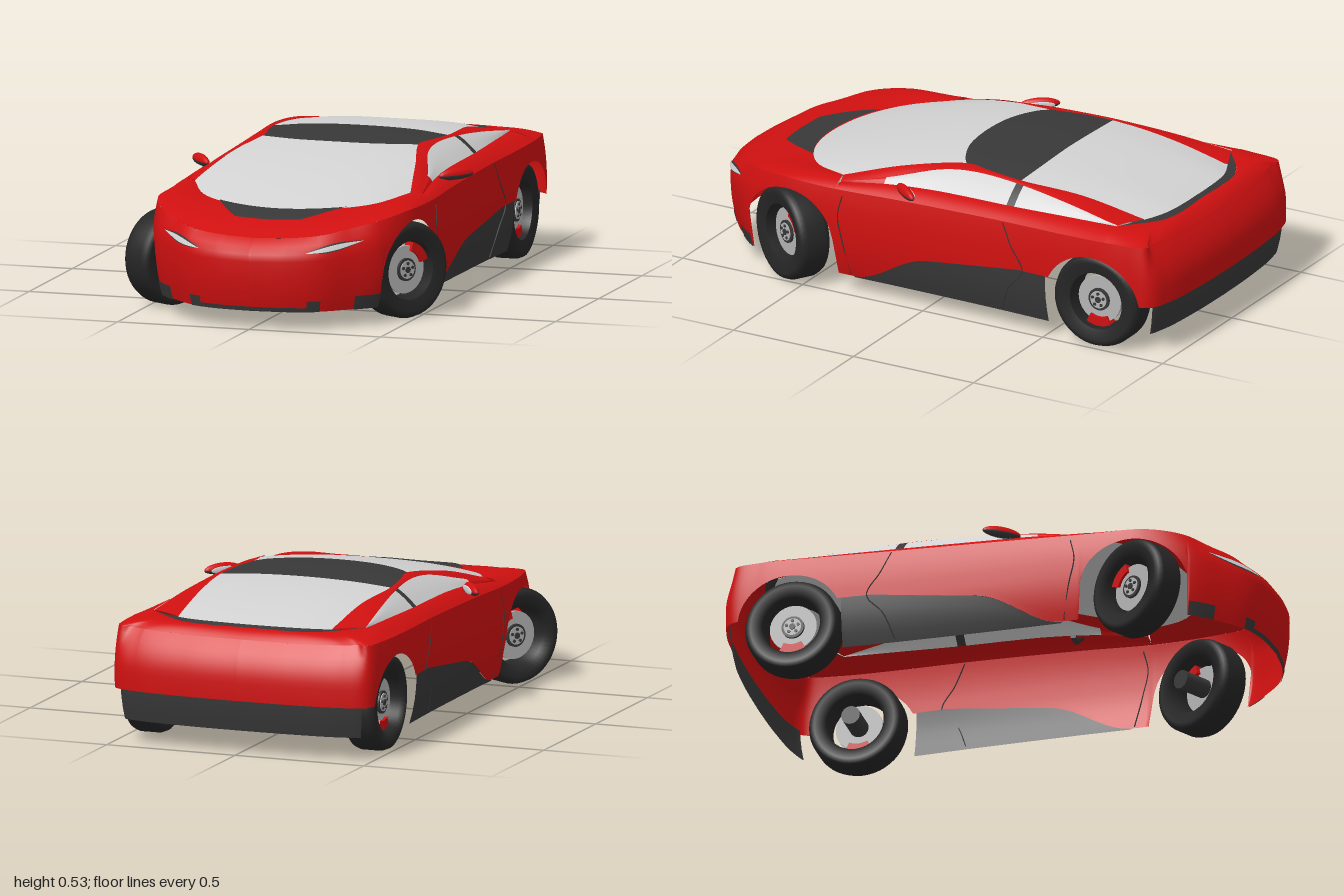
import * as THREE from 'three';

const V = (x, y, z) => new THREE.Vector3(x, y, z);
const { lerp, clamp, smoothstep } = THREE.MathUtils;
const SIDES = [1, -1];

export function createModel() {
  const car = new THREE.Group();
  car.name = 'sportsCar';
  const paint = (name, color) => {
    const m = new THREE.MeshStandardMaterial({ color, side: THREE.DoubleSide });
    m.name = name;
    return m;
  };
  const red = paint('redPaint', 0xd01010);
  const glass = paint('paleGlass', 0xd2d2d2);
  const dark = paint('darkTrim', 0x383838);
  const rubber = paint('tyreRubber', 0x262626);
  const metal = paint('brakeMetal', 0xb4b4b4);

  const add = (name, geo, mat, parent = car) => {
    const m = new THREE.Mesh(geo, mat);
    m.name = name;
    parent.add(m);
    return m;
  };

  // Surface grid from f(u, v); sign -1 mirrors it across the car
  function patch(name, mat, f, nu, nv, u0 = 0, u1 = 1, sign = 1) {
    const pos = [], idx = [];
    for (let i = 0; i <= nu; i++) for (let j = 0; j <= nv; j++) {
      const p = f(lerp(u0, u1, i / nu), j / nv);
      pos.push(p.x * sign, p.y, p.z);
      if (i < nu && j < nv) {
        const a = i * (nv + 1) + j, b = a + nv + 1;
        if (sign > 0) idx.push(a, b, b + 1, a, b + 1, a + 1);
        else idx.push(a, b + 1, b, a, a + 1, b + 1);
      }
    }
    const g = new THREE.BufferGeometry();
    g.setAttribute('position', new THREE.Float32BufferAttribute(pos, 3));
    g.setIndex(idx);
    g.computeVertexNormals();
    return add(name, g, mat);
  }
  const pair = (name, mat, f, nu, nv, u0, u1) =>
    SIDES.forEach(s => patch((s > 0 ? 'left' : 'right') + name, mat, f, nu, nv, u0, u1, s));
  const ruled = (A, B, bulge = 0) => (u, v) => {
    const p = A(u).lerp(B(u), v);
    p.y += bulge * 4 * v * (1 - v);
    return p;
  };
  const curve = pts => {
    const c = new THREE.CatmullRomCurve3(pts.map(p => V(...p)));
    return u => c.getPoint(u);
  };
  // Symmetric curve across the car, u from -1 to 1
  const cross = pts => {
    const c = curve([...pts.slice(1).reverse().map(([x, y, z]) => [-x, y, z]), ...pts]);
    return u => c((u + 1) / 2);
  };

  // Half outline of the body from nose to tail: x, shoulder height, z
  const plan = new THREE.CatmullRomCurve3([
    [0, .325, 1], [.14, .33, .985], [.25, .338, .945], [.34, .355, .87], [.43, .378, .77],
    [.485, .395, .62], [.5, .395, .40], [.5, .405, .1], [.505, .415, -.3], [.515, .42, -.6],
    [.515, .425, -.82], [.49, .425, -.94], [.40, .42, -.975], [.2, .415, -.995], [0, .415, -1],
  ].map(p => V(...p)));
  const K = 1 / 14;
  const sOf = z => {
    let a = 0, b = 1;
    for (let i = 0; i < 30; i++) {
      const m = (a + b) / 2;
      if (plan.getPoint(m).z > z) a = m; else b = m;
    }
    return a;
  };
  // Point on the body wall, tucked in above and below the waist
  function wall(s, y, off = 0) {
    const p = plan.getPoint(s), t = plan.getTangent(s);
    const l = Math.hypot(t.x, t.z), nx = -t.z / l, nz = t.x / l;
    const d = (.012 + .048 * nz * nz) * Math.max(0, (y - .27) / (p.y - .27)) ** 2
      + .028 * Math.max(0, (.24 - y) / .18) ** 2 - off;
    return V(Math.max(0, p.x - nx * d), y, p.z - nz * d);
  }
  const wallTop = s => wall(s, plan.getPoint(s).y);
  const sillTop = z => .065 + .13 * smoothstep(-z, -.3, .02) + .05 * clamp(-z / .4, 0, 1);
  const wallBottom = z => {
    let b = z < -.88 ? .2 : z < .3 && z > -.7 ? sillTop(z) : .065;
    for (const c of [.57, -.71]) {
      const q = 1 - ((z - c) / .195) ** 2;
      if (q > 0) b = Math.max(b, .176 + .18 * Math.sqrt(q));
    }
    return b;
  };

  // Painted body sides with wheel arches, and the dark lower trim
  pair('BodySide', red, (s, v) => {
    const p = plan.getPoint(s);
    return wall(s, lerp(wallBottom(p.z), p.y, v));
  }, 320, 10);
  pair('Sill', dark, (s, v) => wall(s, lerp(.06, sillTop(plan.getPoint(s).z), v), -.002), 40, 4, sOf(.3), sOf(-.515));
  pair('Diffuser', dark, (s, v) => wall(s, lerp(.085, .21, v), -.012), 30, 3, 11.2 * K, 1);
  for (const [a, b, top] of [[0, 1.6, .08], [1.6, 2.05, .105], [3.2, 4, .115]])
    pair('FrontLip', dark, (s, v) => wall(s, lerp(.064, top, v), .003), 10, 2, a * K, b * K);

  // Headlight slits with a dark surround
  for (const [name, mat, h, off] of [['HeadlightFrame', dark, .014, .002], ['Headlight', glass, .009, .005]])
    pair(name, mat, (u, v) => wall(lerp(1.5, 3.45, u) * K,
      lerp(.282, .318, u) + (v * 2 - 1) * h * Math.sin(Math.PI * u), off), 20, 2);

  // Door shut lines
  for (const pts of [[[.34, .375], [.355, .3], [.335, .2], [.31, .07]], [[-.33, .41], [-.37, .33], [-.42, .245], [-.36, .17], [-.32, .07]]])
    for (const s of SIDES) {
      const path = new THREE.CatmullRomCurve3(pts.map(([z, y]) => {
        const p = wall(sOf(z), y);
        return V(p.x * s, p.y, p.z);
      }));
      add('doorShutLine', new THREE.TubeGeometry(path, 24, .0025, 5), dark);
    }

  // Bonnet, windscreen, roof, rear window and tail deck
  const screenBase = cross([[0, .385, .67], [.18, .39, .635], [.32, .40, .54], [.41, .42, .38]]);
  const roofFront = cross([[0, .525, .02], [.15, .523, .005], [.26, .519, -.04], [.30, .515, -.07]]);
  const roofRear = cross([[0, .528, -.32], [.2, .523, -.32], [.335, .51, -.31]]);
  const rearBase = cross([[0, .455, -.86], [.2, .455, -.85], [.30, .45, -.81]]);
  const deckEdge = cross([[0, .448, -.88], [.25, .449, -.87], [.41, .455, -.76]]);
  const mirrored = f => u => {
    const p = f(Math.abs(u));
    if (u < 0) p.x *= -1;
    return p;
  };
  const sHood = sOf(.37), sTail = sOf(-.76);
  const hood = ruled(mirrored(u => wallTop(u * sHood)), screenBase, .01);
  patch('bonnet', red, hood, 60, 12, -1, 1);
  patch('bonnetVent', dark, (u, v) => {
    const p = hood(u * lerp(.19, .47, v), lerp(.52, 1, v));
    p.y += .004;
    return p;
  }, 24, 8, -1, 1);
  patch('windscreen', glass, ruled(screenBase, roofFront, .015), 32, 12, -1, 1);
  patch('roofPanel', dark, ruled(roofFront, roofRear, .005), 32, 8, -1, 1);
  patch('rearWindow', glass, ruled(roofRear, rearBase, .015), 32, 12, -1, 1);
  patch('rearVent', dark, ruled(rearBase, deckEdge), 32, 2, -1, 1);
  patch('tailDeck', red, ruled(deckEdge, mirrored(u => wallTop(lerp(1, sTail, u))), .008), 60, 8, -1, 1);

  // Shoulders, side windows and roof rails
  const glassBottom = curve([[.45, .41, .37], [.432, .433, .18], [.422, .443, 0], [.422, .446, -.13],
    [.425, .449, -.32], [.42, .453, -.55], [.413, .455, -.76]]);
  const rail = curve([[.45, .41, .37], [.41, .455, .18], [.352, .5, 0], [.34, .512, -.13],
    [.355, .508, -.32], [.385, .487, -.55], [.412, .457, -.76]]);
  const railInner = curve([[.41, .422, .38], [.355, .485, .155], [.295, .518, -.07], [.306, .518, -.15],
    [.33, .513, -.31], [.313, .498, -.56], [.30, .452, -.81]]);
  pair('Shoulder', red, ruled(u => wallTop(sOf(glassBottom(u).z)), glassBottom, .006), 48, 5);
  const sideGlass = ruled(glassBottom, rail, .004);
  pair('FrontQuarterPanel', red, sideGlass, 6, 4, 0, .15);
  pair('DoorWindow', glass, sideGlass, 24, 4, .15, .655);
  pair('WindowPillar', dark, sideGlass, 2, 4, .655, .68);
  pair('QuarterWindow', glass, sideGlass, 16, 4, .68, 1);
  pair('RoofRail', red, ruled(rail, railInner, .003), 48, 4);

  // Door mirrors
  for (const s of SIDES) {
    const g = new THREE.Group();
    g.name = s > 0 ? 'leftMirror' : 'rightMirror';
    g.position.set(.485 * s, .44, .08);
    g.rotation.y = s * .9;
    car.add(g);
    const half = (name, mat, start, len, h) =>
      add(name, new THREE.SphereGeometry(1, 20, 8, 0, Math.PI * 2, start, len), mat, g).scale.set(.075, h, .018);
    half('mirrorCap', red, 0, Math.PI / 2, .024);
    half('mirrorShell', dark, Math.PI / 2, Math.PI / 2, .018);
    const face = add('mirrorGlass', new THREE.SphereGeometry(1, 16, 8), glass, g);
    face.scale.set(.055, .014, .004);
    face.position.z = -.016;
    const arm = add('mirrorArm', new THREE.BoxGeometry(.06, .012, .02), dark);
    arm.position.set(.44 * s, .428, .1);
  }

  // Wheels: open tyre, brake disc, hub, calliper and axle stub
  const tyreProfile = [[.108, -.05], [.15, -.062], [.168, -.055], [.176, -.035], [.176, .035], [.168, .055],
    [.15, .062], [.108, .05], [.108, -.05]].map(p => new THREE.Vector2(...p));
  function wheel(name, s, x, z, steer, angle) {
    const g = new THREE.Group();
    g.name = name;
    g.position.set(x * s, .176, z);
    g.rotation.y = steer;
    car.add(g);
    const round = (part, r, len, at, mat, y = 0, zz = 0) => {
      const m = add(part, new THREE.CylinderGeometry(r, r, len, r < .02 ? 8 : 32), mat, g);
      m.rotation.z = Math.PI / 2;
      m.position.set(at * s, y, zz);
    };
    add('tyre', new THREE.LatheGeometry(tyreProfile, 48), rubber, g).rotation.z = Math.PI / 2;
    round('brakeDisc', .088, .012, .015, metal);
    round('hub', .042, .02, .02, dark);
    round('hubFace', .033, .006, .03, metal);
    round('hubCap', .012, .012, .031, dark);
    for (let i = 0; i < 5; i++) {
      const a = i * Math.PI * .4;
      round('wheelBolt', .006, .012, .031, dark, .023 * Math.cos(a), .023 * Math.sin(a));
    }
    round('axleStub', .035, .12, -.05, dark);
    const arc = new THREE.Shape();
    arc.absarc(0, 0, .102, angle - .5, angle + .5, false);
    arc.absarc(0, 0, .068, angle + .5, angle - .5, true);
    const cal = add('calliper', new THREE.ExtrudeGeometry(arc, { depth: .04, bevelEnabled: false, curveSegments: 10 }), red, g);
    cal.rotation.y = Math.PI / 2;
    cal.position.x = .012 * s - .02;
  }
  for (const s of SIDES) {
    const side = s > 0 ? 'Left' : 'Right';
    wheel('front' + side + 'Wheel', s, .44, .575, -Math.PI / 6, .8);
    wheel('rear' + side + 'Wheel', s, .43, -.71, 0, -Math.PI / 2);
  }
  return car;
}
